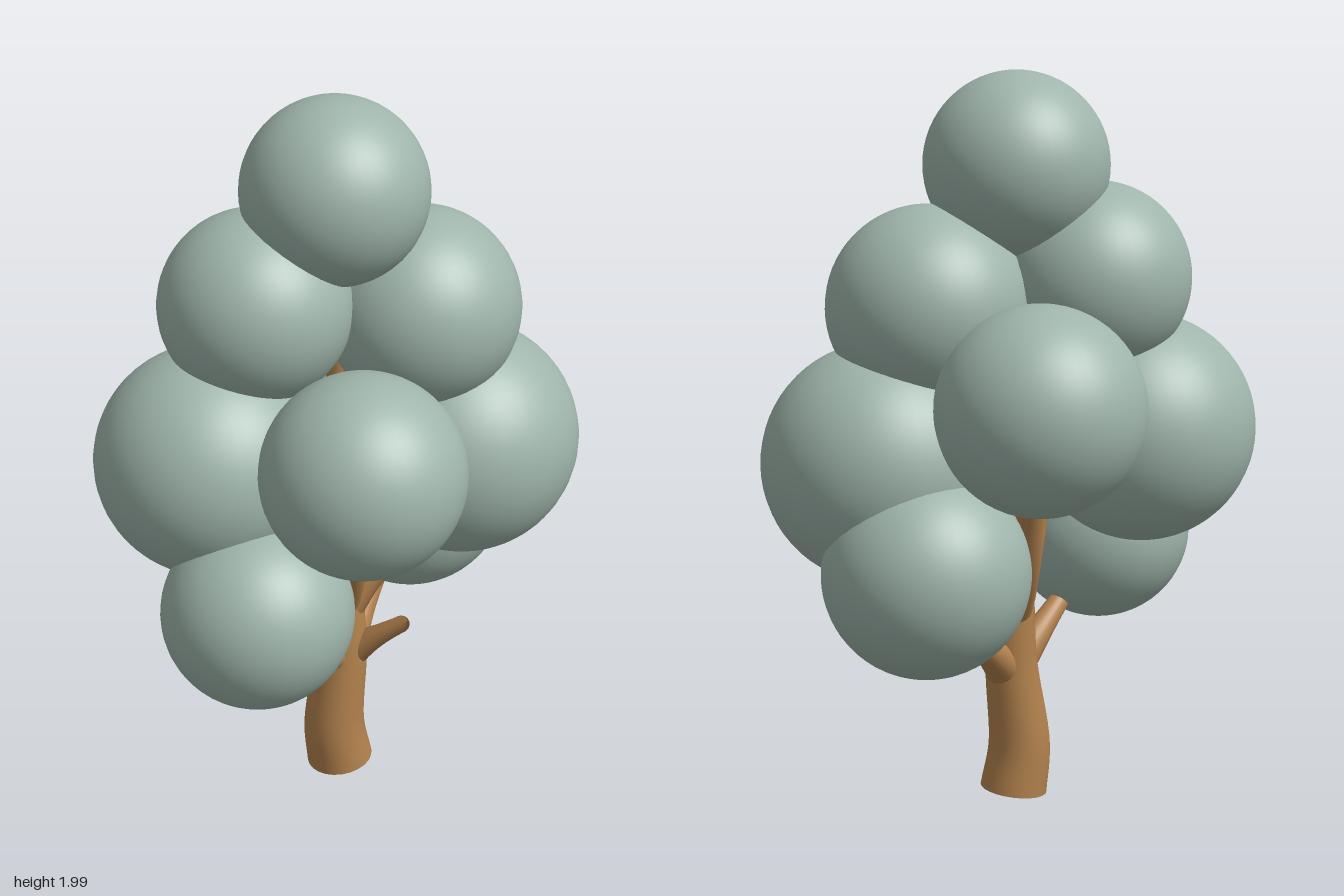
import * as THREE from 'three';

// Tube along a curve, tapering from root to tip radius, with a rounded tip
function limbGeometry(curve, root, tip, flare, sides = 24, steps = 48) {
  const geo = new THREE.TubeGeometry(curve, steps, 1, sides);
  const pos = geo.attributes.position;
  const v = new THREE.Vector3();
  const length = curve.getLength();
  for (let i = 0; i <= steps; i++) {
    const t = i / steps;
    const centre = curve.getPointAt(t);
    const toTip = Math.min(1, ((1 - t) * length) / tip);
    const radius = (tip + (root - tip) * (1 - t) ** flare) * Math.sqrt(1 - (1 - toTip) ** 2);
    for (let j = 0; j <= sides; j++) {
      const n = i * (sides + 1) + j;
      v.fromBufferAttribute(pos, n).sub(centre).multiplyScalar(radius).add(centre);
      pos.setXYZ(n, v.x, v.y, v.z);
    }
  }
  return geo;
}

export function createModel() {
  const tree = new THREE.Group();
  tree.name = 'tree';
  const bark = new THREE.MeshStandardMaterial({ color: 0xb5844f });
  bark.name = 'bark brown';
  const leaf = new THREE.MeshStandardMaterial({ color: 0x9fb5ab });
  leaf.name = 'sage green';

  const add = (name, geo, mat) => {
    const mesh = new THREE.Mesh(geo, mat);
    mesh.name = name;
    tree.add(mesh);
    return mesh;
  };
  const limb = (name, root, tip, flare, ...points) => {
    const curve = new THREE.CatmullRomCurve3(points.map((p) => new THREE.Vector3(...p)));
    add(name, limbGeometry(curve, root, tip, flare), bark);
    return curve;
  };
  const ball = (name, radius, x, y, z) =>
    add(name, new THREE.SphereGeometry(radius, 48, 32), leaf).position.set(x, y, z);

  // Trunk, slightly bent, with a tilted flat foot
  const trunk = limb('trunk', 0.092, 0.055, 1,
    [-0.02, 0.025, 0.02], [-0.036, 0.15, 0.02], [-0.012, 0.4, 0.015], [-0.015, 0.68, 0]);
  const foot = add('trunkFoot', new THREE.CircleGeometry(0.092, 24), bark);
  foot.position.copy(trunk.getPoint(0));
  foot.quaternion.setFromUnitVectors(new THREE.Vector3(0, 0, 1), trunk.getTangent(0).negate());

  // Low branches and short twigs
  limb('lowFrontRightBranch', 0.06, 0.025, 2, [-0.01, 0.36, 0.02], [-0.1, 0.45, 0.07], [-0.25, 0.59, 0.18]);
  limb('lowBackLeftBranch', 0.06, 0.025, 2, [0, 0.37, 0.01], [0.07, 0.45, -0.06], [0.21, 0.6, -0.17]);
  limb('lowTwig', 0.055, 0.023, 2, [0, 0.37, 0.02], [0.06, 0.435, 0.065], [0.14, 0.515, 0.13]);
  limb('middleTwig', 0.06, 0.026, 2, [0, 0.53, 0.01], [0.07, 0.605, 0.02], [0.155, 0.69, 0.04]);

  // Upper branches reaching into the foliage
  limb('frontBranch', 0.055, 0.03, 1, [-0.015, 0.54, 0.01], [-0.03, 0.7, 0.13], [-0.05, 0.95, 0.27]);
  limb('backBranch', 0.055, 0.03, 1, [-0.01, 0.54, 0], [-0.005, 0.7, -0.14], [0, 0.98, -0.28]);
  limb('upperLeftBranch', 0.06, 0.03, 1, [0, 0.58, 0], [0.03, 0.84, -0.01], [0.18, 1.3, -0.03]);
  limb('upperRightBranch', 0.055, 0.03, 1, [-0.02, 0.58, 0], [-0.075, 0.88, -0.01], [-0.18, 1.35, -0.04]);
  limb('leaderBranch', 0.055, 0.03, 1, [-0.01, 0.6, 0], [0, 1.1, -0.02], [-0.01, 1.6, -0.03]);

  // Foliage balls
  ball('topFoliage', 0.246, -0.015, 1.755, -0.028);
  ball('upperRightFoliage', 0.256, -0.225, 1.455, -0.05);
  ball('upperLeftFoliage', 0.27, 0.225, 1.39, -0.035);
  ball('middleRightFoliage', 0.309, -0.365, 1.04, -0.022);
  ball('middleLeftFoliage', 0.321, 0.35, 0.98, -0.03);
  ball('frontFoliage', 0.268, -0.067, 1.13, 0.34);
  ball('backFoliage', 0.274, 0, 1.16, -0.335);
  ball('lowerFrontRightFoliage', 0.256, -0.32, 0.705, 0.23);
  ball('lowerBackLeftFoliage', 0.274, 0.275, 0.72, -0.22);
  return tree;
}
